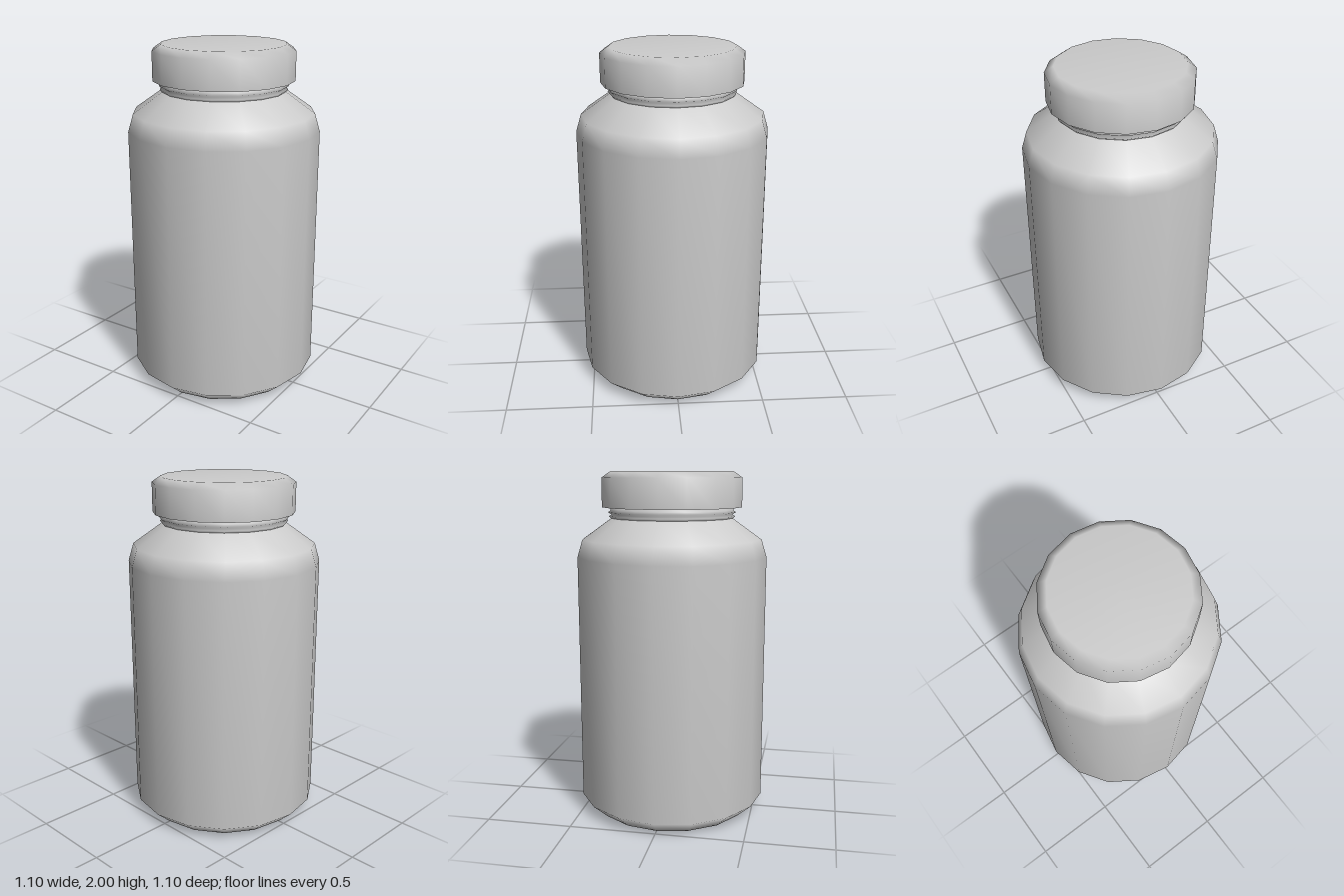
import * as THREE from 'three';

const SIDES = 16;

// Revolve a [radius, height] profile, listed from bottom to top
function turned(name, profile, material) {
  const points = profile.map(([r, y]) => new THREE.Vector2(r, y));
  const mesh = new THREE.Mesh(new THREE.LatheGeometry(points, SIDES), material);
  mesh.name = name;
  return mesh;
}

export function createModel() {
  const group = new THREE.Group();
  group.name = 'jar';
  const grey = new THREE.MeshStandardMaterial({ color: 0xcccccc });

  // Body: chamfered base, straight wall, sloping shoulder
  group.add(turned('body', [
    [0, 0], [0.46, 0], [0.55, 0.08], [0.55, 1.52], [0.52, 1.62], [0.35, 1.74],
  ], grey));

  // Neck: two small thread ridges, closed under the lid
  group.add(turned('neck', [
    [0.35, 1.735], [0.365, 1.75], [0.35, 1.76], [0.37, 1.772],
    [0.355, 1.785], [0.355, 1.82], [0, 1.82],
  ], grey));

  // Lid: flat underside with a sharp lower rim, bevelled top
  group.add(turned('lidUnderside', [[0.33, 1.8], [0.405, 1.8]], grey));
  group.add(turned('lid', [
    [0.405, 1.8], [0.405, 1.965], [0.355, 2], [0, 2],
  ], grey));

  return group;
}
